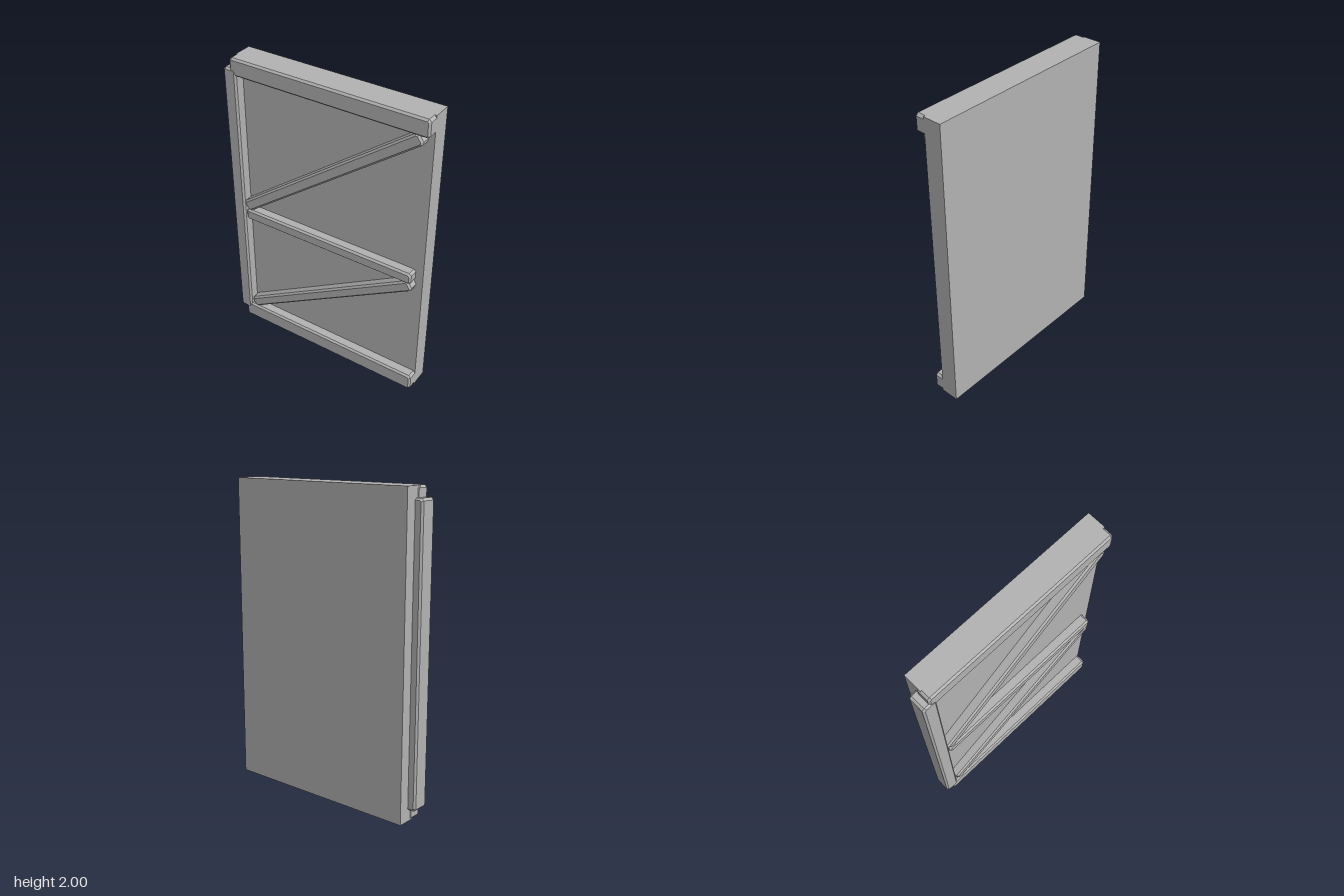
import * as THREE from 'three';

export function createModel() {
  const group = new THREE.Group();
  const grey = new THREE.MeshStandardMaterial({ color: 0xb2b2b2, flatShading: true });
  grey.name = 'plaster grey';

  // Chamfered beam between two points, w wide, reaching from z0 to z1
  function beam(name, [ax, ay], [bx, by], w, z0, z1, c = 0.012) {
    const L = Math.hypot(bx - ax, by - ay);
    const x = L / 2 - c, y = w / 2 - c, k = 0.008;
    const outline = new THREE.Shape([
      [-x + k, -y], [x - k, -y], [x, -y + k], [x, y - k],
      [x - k, y], [-x + k, y], [-x, y - k], [-x, -y + k],
    ].map(([px, py]) => new THREE.Vector2(px, py)));
    const geometry = new THREE.ExtrudeGeometry(outline, {
      depth: z1 - z0 - 2 * c, bevelEnabled: true,
      bevelThickness: c, bevelSize: c, bevelSegments: 1,
    });
    const mesh = new THREE.Mesh(geometry, grey);
    mesh.name = name;
    mesh.position.set((ax + bx) / 2, (ay + by) / 2, z0 + c);
    mesh.rotation.z = Math.atan2(by - ay, bx - ax);
    group.add(mesh);
  }

  // Wall slab behind the timber frame
  const panel = new THREE.Mesh(new THREE.BoxGeometry(1.327, 2, 0.12), grey);
  panel.name = 'wallPanel';
  panel.position.set(0.0235, 1, -0.035);
  group.add(panel);

  // Frame
  beam('topRail', [-0.645, 1.943], [0.687, 1.943], 0.114, -0.005, 0.092);
  beam('bottomRail', [-0.645, 0.057], [0.687, 0.057], 0.114, -0.005, 0.092);
  beam('sidePost', [-0.645, 0.072], [-0.645, 1.932], 0.092, -0.022, 0.095);

  // Middle rail and diagonal braces
  beam('middleRail', [-0.592, 0.9], [0.636, 0.906], 0.078, 0.005, 0.09);
  beam('upperBrace', [-0.589, 0.957], [0.635, 1.872], 0.077, 0.005, 0.088);
  beam('lowerBrace', [-0.582, 0.132], [0.632, 0.856], 0.074, 0.005, 0.088);

  return group;
}
